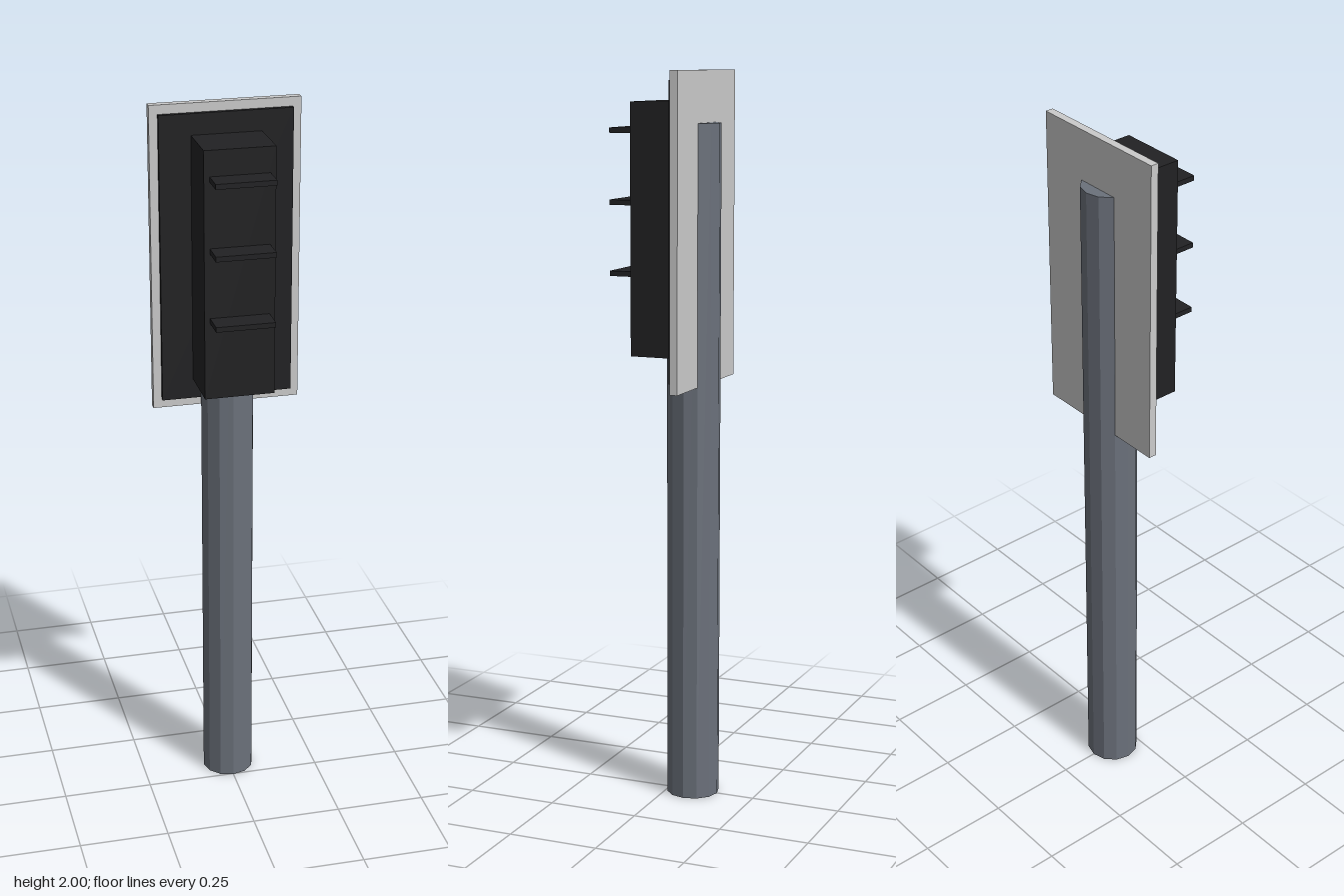
import * as THREE from 'three';

const mat = (color) => new THREE.MeshStandardMaterial({ color, flatShading: true });

// Box given by its half width and its y and z ranges, centred on x = 0
function slab(name, halfWidth, [y0, y1], [z0, z1], material) {
  const mesh = new THREE.Mesh(new THREE.BoxGeometry(halfWidth * 2, y1 - y0, z1 - z0), material);
  mesh.position.set(0, (y0 + y1) / 2, (z0 + z1) / 2);
  mesh.name = name;
  return mesh;
}

export function createModel() {
  const model = new THREE.Group();
  model.name = 'trafficLight';
  const steel = mat(0x6b717b);
  const black = mat(0x212123);
  const grey = mat(0xcccccc);

  // Twelve-sided pole, standing behind the centre
  const poleHeight = 1.862;
  const pole = new THREE.Mesh(new THREE.CylinderGeometry(0.073, 0.073, poleHeight, 12), steel);
  pole.position.set(0, poleHeight / 2, -0.07);
  pole.name = 'pole';
  model.add(pole);

  // Pale backboard with a dark panel on its face
  model.add(slab('backboard', 0.203, [1.16, 2], [-0.106, -0.084], grey));
  model.add(slab('backboardPanel', 0.18, [1.185, 1.975], [-0.085, -0.072], black));

  // Lamp housing
  model.add(slab('lampHousing', 0.095, [1.24, 1.918], [-0.074, 0.075], black));

  // Three flat visors on the front of the housing
  for (const y of [1.46, 1.651, 1.842]) {
    model.add(slab('visor', 0.08, [y - 0.007, y + 0.007], [0.07, 0.143], black));
  }
  return model;
}
